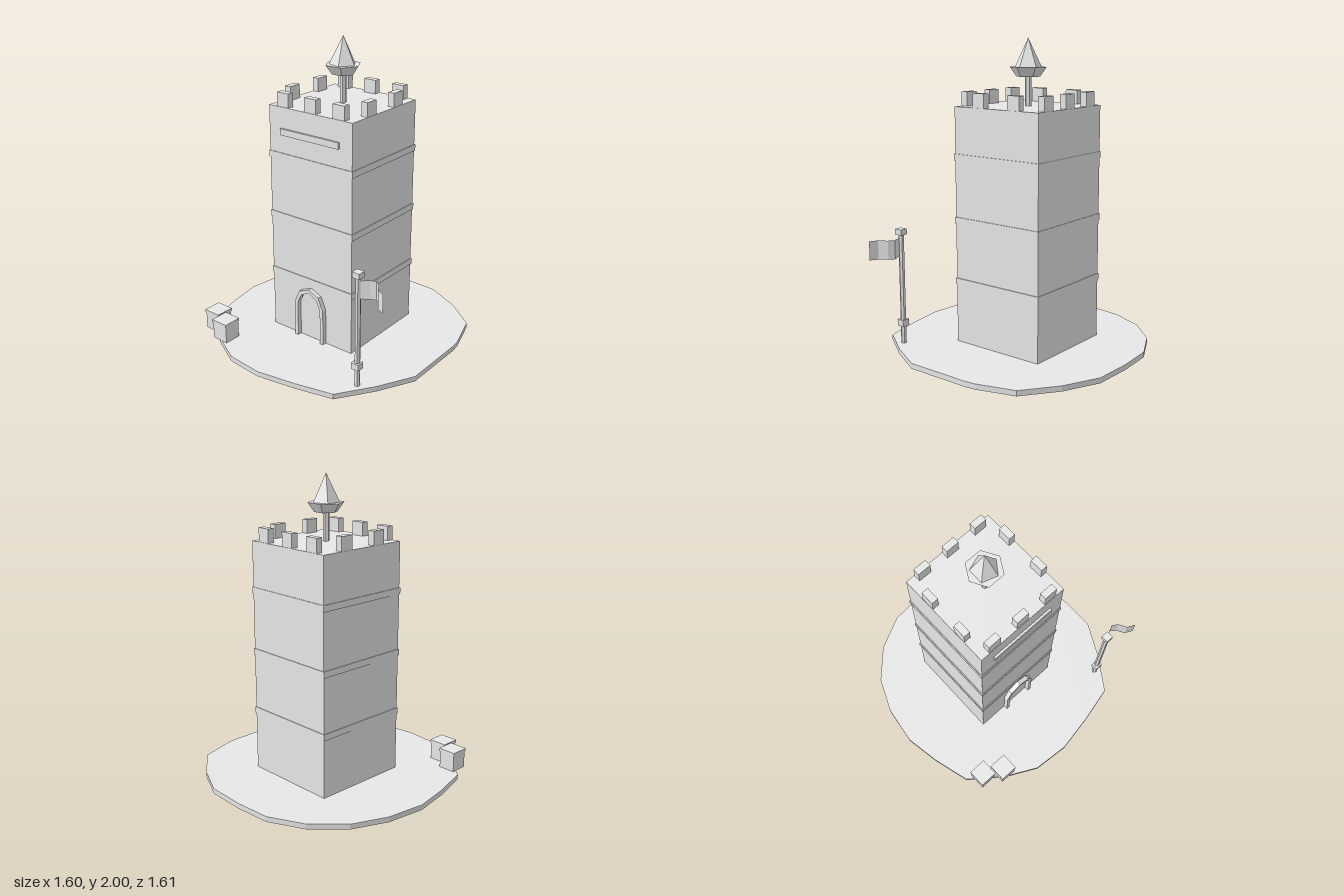
import * as THREE from 'three';

const stone = new THREE.MeshStandardMaterial({ color: 0xe7e7e7 });
stone.name = 'paleGreyStone';
const sheetGrey = new THREE.MeshStandardMaterial({ color: 0xe7e7e7, side: THREE.DoubleSide });
sheetGrey.name = 'paleGreySheet';

export function createModel() {
  const model = new THREE.Group();
  model.name = 'watchtower';

  // Adds a faceted part
  const add = (name, geometry, x = 0, y = 0, z = 0, parent = model, material = stone) => {
    const g = geometry.index ? geometry.toNonIndexed() : geometry;
    g.computeVertexNormals();
    const mesh = new THREE.Mesh(g, material);
    mesh.name = name;
    mesh.position.set(x, y, z);
    parent.add(mesh);
  };
  // Box given by its base height and its height
  const box = (name, w, h, d, x, y0, z, parent) =>
    add(name, new THREE.BoxGeometry(w, h, d), x, y0 + h / 2, z, parent);
  // Prism or cone with a corner on +x
  const prism = (name, rTop, rBottom, h, sides, x, y0, z, parent) =>
    add(name, new THREE.CylinderGeometry(rTop, rBottom, h, sides).rotateY(Math.PI / 2), x, y0 + h / 2, z, parent);
  // Upright sheet bent along x, z points
  const sheet = (name, points, h, y0, parent) => {
    const g = new THREE.PlaneGeometry(1, h, points.length - 1, 1);
    const p = g.attributes.position;
    for (let i = 0; i < p.count; i++) {
      const [x, z] = points[i % points.length];
      p.setX(i, x);
      p.setZ(i, z);
    }
    add(name, g, 0, y0 + h / 2, 0, parent, sheetGrey);
  };
  // Everything on the slab stands slightly off its centre
  const group = (name, x = 0.004) => {
    const g = new THREE.Group();
    g.name = name;
    g.position.x = x;
    model.add(g);
    return g;
  };

  // Irregular ground slab, hollow below, corners as x, z
  const rim = [
    [-0.25, -0.788], [-0.483, -0.675], [-0.663, -0.49], [-0.762, -0.26], [-0.798, 0],
    [-0.756, 0.24], [-0.684, 0.495], [-0.46, 0.67], [-0.25, 0.78], [0, 0.803], [0.26, 0.76],
    [0.52, 0.7], [0.675, 0.474], [0.798, 0.24], [0.798, -0.2], [0.79, -0.27], [0.714, -0.52],
    [0.5, -0.684], [0.265, -0.795], [0, -0.805],
  ];
  const slab = group('groundSlab', 0);
  const slabShape = new THREE.Shape(rim.map(([x, z]) => new THREE.Vector2(x, -z)));
  add('slabTop', new THREE.ShapeGeometry(slabShape).rotateX(-Math.PI / 2), 0, 0.035, 0, slab, sheetGrey);
  sheet('slabRim', [...rim, rim[0]], 0.035, 0, slab);

  // Tower body with thin courses
  const towerZ = -0.05;
  const tower = group('tower');
  box('towerBody', 0.652, 1.542, 0.658, 0, 0.035, towerZ, tower);
  for (const y of [0.423, 0.828, 1.237]) box('stoneCourse', 0.664, 0.042, 0.667, 0, y, towerZ, tower);
  box('frontLedge', 0.46, 0.042, 0.02, 0, 1.4, 0.283, tower);

  // Battlements
  const battlements = group('battlements');
  for (const side of [-1, 1]) {
    for (const x of [-0.218, 0, 0.22])
      box('merlon', 0.09, 0.09, 0.045, x, 1.577, towerZ + side * 0.302, battlements);
    for (const s of [-1, 1])
      box('merlon', 0.045, 0.09, 0.09, side * 0.301, 1.577, towerZ + s * 0.137, battlements);
  }

  // Roof spire
  const spire = group('spire');
  prism('spirePole', 0.021, 0.021, 0.19, 6, 0, 1.577, towerZ, spire);
  prism('spireCup', 0.117, 0.075, 0.06, 6, 0, 1.76, towerZ, spire);
  prism('spirePoint', 0, 0.088, 0.18, 5, 0, 1.82, towerZ, spire);

  // Arched door frame: outer line up and over, inner line back
  const outer = [[0.118, 0.035], [0.118, 0.28], [0.08, 0.366], [0, 0.4]];
  const inner = [[0.093, 0.035], [0.093, 0.28], [0.063, 0.342], [0, 0.376]];
  const arc = (pts) => [...pts, ...pts.slice(0, -1).reverse().map(([x, y]) => [-x, y])];
  const outline = [...arc(outer), ...arc(inner).reverse()].map(([x, y]) => new THREE.Vector2(x, y));
  add('doorFrame', new THREE.ExtrudeGeometry(new THREE.Shape(outline), { depth: 0.04, bevelEnabled: false }),
    0, 0, 0.27, tower);

  // Flagpole with a waving flag
  const flagpole = group('flagpole');
  prism('pole', 0.018, 0.018, 0.735, 6, 0.57, 0.035, 0.535, flagpole);
  box('poleCollar', 0.054, 0.042, 0.05, 0.568, 0.153, 0.537, flagpole);
  box('poleCap', 0.052, 0.037, 0.052, 0.57, 0.763, 0.535, flagpole);
  sheet('flag', [[0.58, 0.54], [0.632, 0.505], [0.668, 0.49], [0.704, 0.515], [0.736, 0.57], [0.788, 0.595]],
    0.123, 0.6275, flagpole);

  // Crates with overhanging lids
  for (const [x, z] of [[-0.585, 0.56], [-0.451, 0.626]]) {
    const crate = group('crate');
    box('crateBody', 0.115, 0.115, 0.115, x, 0.035, z, crate);
    box('crateLid', 0.125, 0.02, 0.125, x, 0.15, z, crate);
  }

  return model;
}
